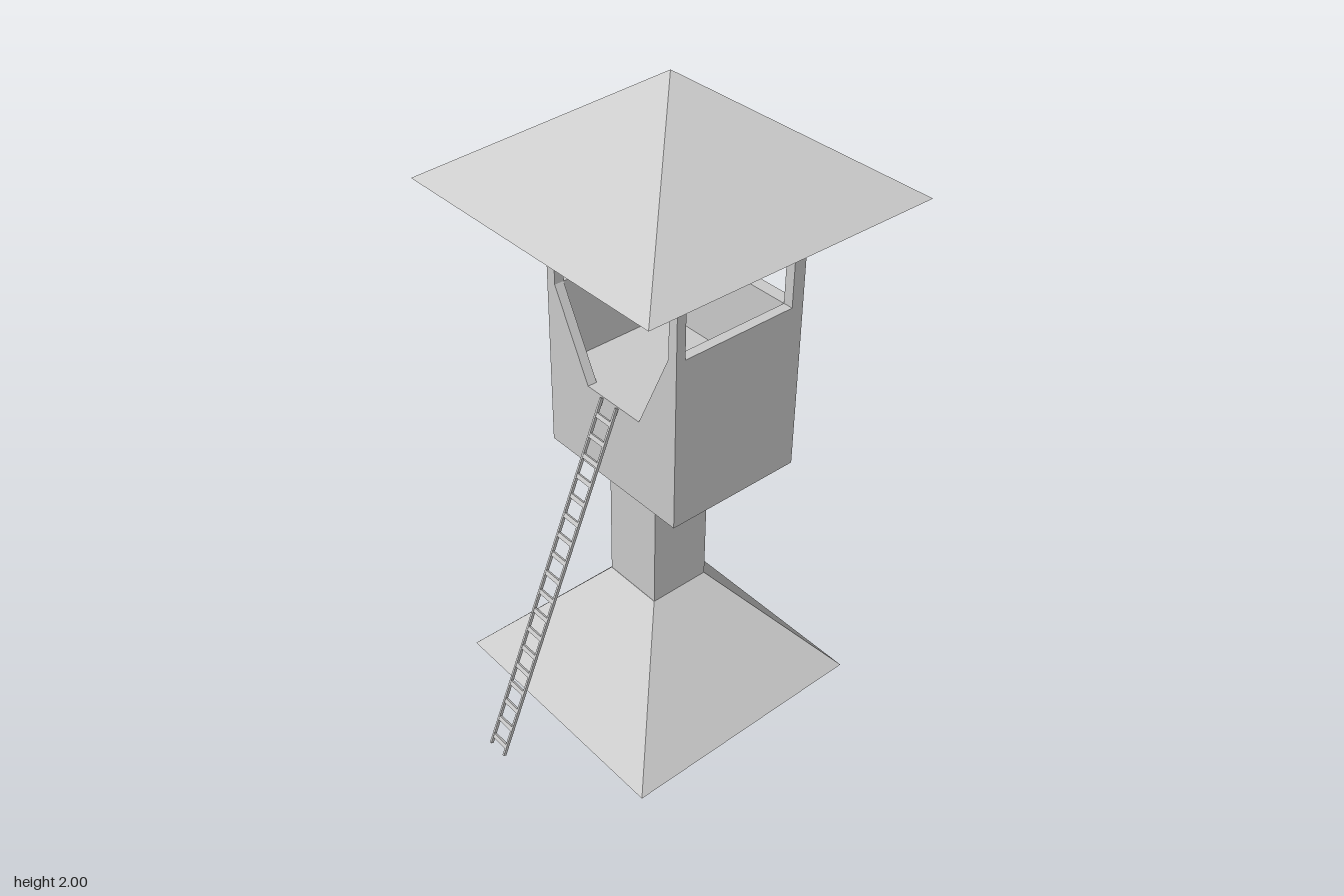
import * as THREE from 'three';

const material = new THREE.MeshStandardMaterial({ color: 0xcccccc, flatShading: true });

function addMesh(parent, name, geometry) {
  const mesh = new THREE.Mesh(geometry, material);
  mesh.name = name;
  parent.add(mesh);
  return mesh;
}

// Box given by its minimum and maximum corners
function addBox(parent, name, [x0, y0, z0], [x1, y1, z1]) {
  const mesh = addMesh(parent, name, new THREE.BoxGeometry(x1 - x0, y1 - y0, z1 - z0));
  mesh.position.set((x0 + x1) / 2, (y0 + y1) / 2, (z0 + z1) / 2);
  return mesh;
}

// Square frustum or pyramid with sides parallel to the axes
function addFrustum(parent, name, halfTop, halfBottom, y0, y1, x, z) {
  const geometry = new THREE.CylinderGeometry(
    halfTop * Math.SQRT2, halfBottom * Math.SQRT2, y1 - y0, 4, 1);
  geometry.rotateY(Math.PI / 4);
  const mesh = addMesh(parent, name, geometry);
  mesh.position.set(x, (y0 + y1) / 2, z);
  return mesh;
}

export function createModel() {
  const tower = new THREE.Group();
  tower.name = 'watchtower';

  // Sloped foot, square column and pyramid roof
  addFrustum(tower, 'base', 0.101, 0.417, 0, 0.365, 0.006, -0.068);
  addBox(tower, 'column', [-0.095, 0.365, -0.17], [0.107, 0.83, 0.032]);
  addFrustum(tower, 'roof', 0, 0.48, 1.672, 2, 0, -0.1);

  // Cabin: floor block, walls, corner posts
  const cabin = new THREE.Group();
  cabin.name = 'cabin';
  tower.add(cabin);
  const left = 0.294, right = -0.24, front = 0.127, back = -0.323;
  const bottom = 0.83, floor = 1.108, sill = 1.372, eave = 1.672;
  const innerLeft = 0.263, innerRight = -0.207, innerFront = 0.097, innerBack = -0.282;

  addBox(cabin, 'floorBlock', [right, bottom, back], [left, floor, innerFront]);
  addBox(cabin, 'backWall', [right, floor, back], [left, sill, innerBack]);
  addBox(cabin, 'leftWall', [innerLeft, floor, innerBack], [left, sill, innerFront]);
  addBox(cabin, 'rightWall', [right, floor, innerBack], [innerRight, sill, innerFront]);
  addBox(cabin, 'backLeftPost', [innerLeft, sill, back], [left, eave, innerBack]);
  addBox(cabin, 'backRightPost', [right, sill, back], [innerRight, eave, innerBack]);

  // Front wall with its tapered entrance and both front posts
  const outline = [
    [right, bottom], [left, bottom], [left, eave], [innerLeft, eave], [innerLeft, sill],
    [0.147, floor], [-0.07, floor], [innerRight, sill], [innerRight, eave], [right, eave],
  ].map(([x, y]) => new THREE.Vector2(x, y));
  const frontWall = addMesh(cabin, 'frontWall', new THREE.ExtrudeGeometry(
    new THREE.Shape(outline), { depth: front - innerFront, bevelEnabled: false }));
  frontWall.position.z = innerFront;

  // Ladder, built upright and then leaned against the entrance
  const ladder = new THREE.Group();
  ladder.name = 'ladder';
  tower.add(ladder);
  const foot = new THREE.Vector3(0.026, 0.037, 0.576);
  const top = new THREE.Vector3(0.026, 1.105, 0.131);
  const length = foot.distanceTo(top);
  for (const side of [-1, 1]) {
    const x = side * 0.032;
    addBox(ladder, side > 0 ? 'leftRail' : 'rightRail',
      [x - 0.003, 0, -0.005], [x + 0.003, length, 0.005]);
  }
  const rungs = 18;
  for (let i = 0; i < rungs; i++) {
    const y = 0.03 + (i * (length - 0.08)) / (rungs - 1);
    addBox(ladder, 'rung', [-0.03, y - 0.007, -0.004], [0.03, y + 0.007, 0.004]);
  }
  ladder.position.copy(foot);
  ladder.rotation.x = Math.atan2(top.z - foot.z, top.y - foot.y);

  return tower;
}
